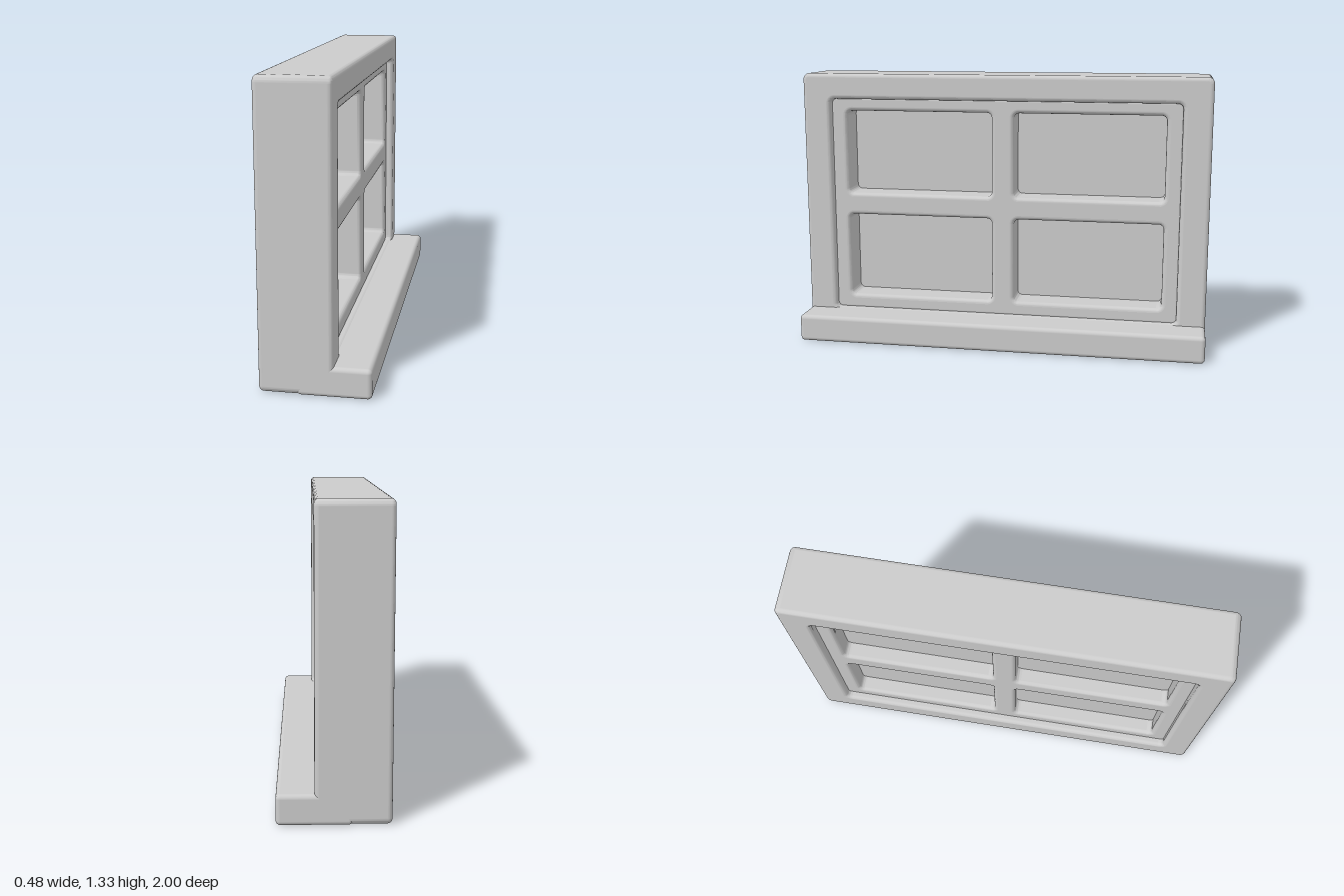
import * as THREE from 'three';
import { toCreasedNormals } from 'three/addons/utils/BufferGeometryUtils.js';
import { RoundedBoxGeometry } from 'three/addons/geometries/RoundedBoxGeometry.js';

const CENTRE_X = -0.08; // middle of the wall thickness

// Rounded rectangle outline from [x0, x1, y0, y1]
function roundRect(path, [x0, x1, y0, y1], r) {
  path.moveTo(x0 + r, y0);
  path.lineTo(x1 - r, y0);
  path.absarc(x1 - r, y0 + r, r, -Math.PI / 2, 0);
  path.lineTo(x1, y1 - r);
  path.absarc(x1 - r, y1 - r, r, 0, Math.PI / 2);
  path.lineTo(x0 + r, y1);
  path.absarc(x0 + r, y1 - r, r, Math.PI / 2, Math.PI);
  path.lineTo(x0, y0 + r);
  path.absarc(x0 + r, y0 + r, r, Math.PI, Math.PI * 1.5);
  return path;
}

// Smooth the rounded edges while keeping the axis-aligned faces truly flat
function softenEdges(geometry) {
  const geo = toCreasedNormals(geometry, 0.5);
  const { position: p, normal: n } = geo.attributes;
  const tri = new THREE.Triangle();
  const face = new THREE.Vector3();
  for (let i = 0; i < p.count; i += 3) {
    tri.setFromAttributeAndIndices(p, i, i + 1, i + 2);
    tri.getNormal(face);
    if (Math.max(Math.abs(face.x), Math.abs(face.y), Math.abs(face.z)) > 0.9999) {
      for (let k = 0; k < 3; k++) n.setXYZ(i + k, face.x, face.y, face.z);
    }
  }
  return geo;
}

// Slab in the z/y plane with holes and rounded edges, thickness along x
function slab(outer, holes, thickness, bevel) {
  const shape = roundRect(new THREE.Shape(), outer, 0.03);
  for (const h of holes) shape.holes.push(roundRect(new THREE.Path(), h, 0.025));
  const geo = new THREE.ExtrudeGeometry(shape, {
    depth: thickness - 2 * bevel, curveSegments: 6,
    bevelThickness: bevel, bevelSize: bevel, bevelOffset: -bevel, bevelSegments: 6,
  });
  geo.translate(0, 0, bevel - thickness / 2).rotateY(Math.PI / 2).translate(CENTRE_X, 0, 0);
  return softenEdges(geo);
}

export function createModel() {
  const group = new THREE.Group();
  group.name = 'window';
  const material = new THREE.MeshStandardMaterial({ color: 0xcccccc });
  const add = (name, geometry) => {
    const mesh = new THREE.Mesh(geometry, material);
    mesh.name = name;
    group.add(mesh);
    return mesh;
  };

  // Outer frame
  add('outerFrame', slab([-1, 1, 0, 1.33], [[-0.862, 0.862, 0.135, 1.205]], 0.32, 0.02));

  // Sill projecting from the foot of the frame
  add('sill', new RoundedBoxGeometry(0.32, 0.133, 2, 5, 0.02)).position.set(0.08, 0.0665, 0);

  // Sash with four openings, set into the frame
  const openings = [];
  for (const [y0, y1] of [[0.2, 0.62], [0.73, 1.145]]) {
    openings.push([-0.788, -0.055, y0, y1], [0.055, 0.788, y0, y1]);
  }
  add('sash', slab([-0.875, 0.875, 0.122, 1.218], openings, 0.245, 0.02));

  // Panes
  openings.forEach(([z0, z1, y0, y1], i) => {
    const pane = add('pane' + (i + 1), new THREE.BoxGeometry(0.025, y1 - y0 + 0.02, z1 - z0 + 0.02));
    pane.position.set(-0.112, (y0 + y1) / 2, (z0 + z1) / 2);
  });

  return group;
}
